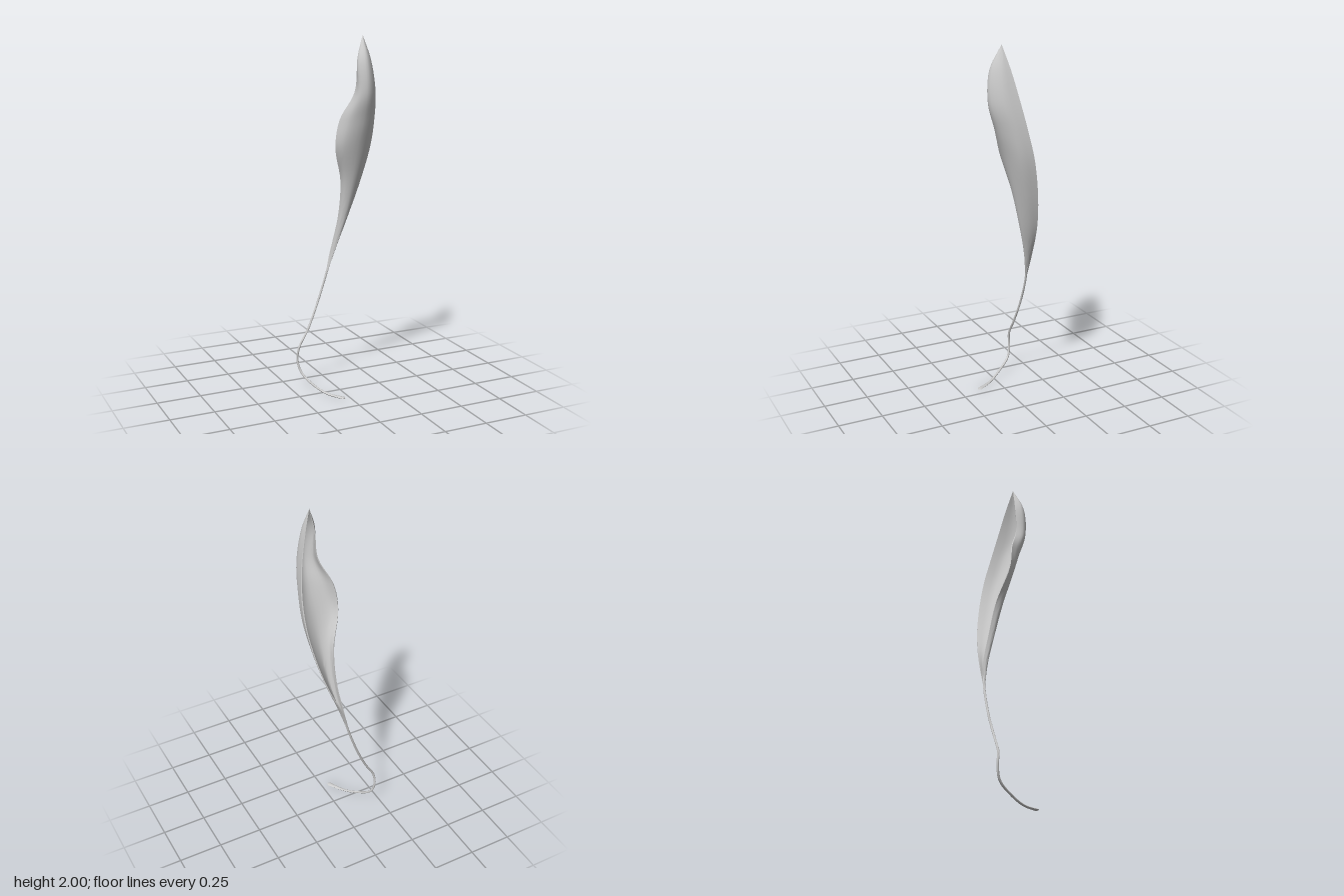
import * as THREE from 'three';
import { toCreasedNormals } from 'three/addons/utils/BufferGeometryUtils.js';

const material = new THREE.MeshStandardMaterial({ color: 0xcccccc, side: THREE.DoubleSide });

// Blade sections: height, then x,z pairs from the rear margin round the outside to the curled margin
const SECTIONS = [
  [0.8, 0.022, -0.16, 0.031, -0.135, 0.023, -0.112, 0.01, -0.122, 0.008, -0.14],
  [1.0, 0.11, -0.145, 0.1, -0.1, 0.068, -0.06, 0.04, -0.072, 0.035, -0.1],
  [1.2, 0.17, -0.115, 0.15, -0.05, 0.09, -0.008, 0.04, -0.025, 0.03, -0.06],
  [1.4, 0.205, -0.075, 0.185, 0, 0.105, 0.048, 0.012, 0.035, -0.028, 0],
  [1.55, 0.206, -0.037, 0.187, 0.04, 0.115, 0.096, 0.03, 0.075, -0.012, 0.02],
  [1.7, 0.188, -0.001, 0.17, 0.085, 0.105, 0.142, 0.058, 0.12, 0.052, 0.07],
  [1.87, 0.148, 0.036, 0.14, 0.088, 0.095, 0.132, 0.054, 0.104, 0.07, 0.068],
];
const BASE = new THREE.Vector3(-0.028, 0.62, -0.144);
const TIP = new THREE.Vector3(0.1, 2, 0.067);

// Thin-walled shell lofted from base point to tip point through the sections
function bladeGeometry(across = 16, along = 48, wall = 0.006) {
  const rails = [0, 1, 2, 3, 4].map((k) => new THREE.CatmullRomCurve3(
    [BASE, ...SECTIONS.map((s) => new THREE.Vector3(s[1 + 2 * k], s[0], s[2 + 2 * k])), TIP],
    false, 'centripetal'));
  const positions = [], index = [], ring = 2 * (across + 1);
  for (let j = 0; j <= along; j++) {
    const t = j / along;
    const arc = new THREE.CatmullRomCurve3(rails.map((r) => r.getPoint(t)), false, 'centripetal');
    const thick = wall * Math.min(1, 8 * t, 8 * (1 - t));
    const outer = [], inner = [];
    for (let i = 0; i <= across; i++) {
      const p = arc.getPoint(i / across), d = arc.getTangent(i / across);
      const inward = new THREE.Vector3(-d.z, 0, d.x).normalize();
      outer.push(p);
      inner.unshift(p.clone().addScaledVector(inward, thick));
    }
    for (const p of [...outer, ...inner]) positions.push(p.x, p.y, p.z);
  }
  for (let j = 0; j < along; j++) {
    for (let i = 0; i < ring; i++) {
      const a = j * ring + i, b = j * ring + (i + 1) % ring;
      index.push(a, a + ring, b, b, a + ring, b + ring);
    }
  }
  const g = new THREE.BufferGeometry();
  g.setAttribute('position', new THREE.Float32BufferAttribute(positions, 3));
  g.setIndex(index);
  return toCreasedNormals(g, 0.7);
}

// Hooked stalk: a tube that flares and flattens towards its cut end
function stalkGeometry(segments = 64, sides = 8) {
  const path = new THREE.CatmullRomCurve3([
    [-0.036, 0.008, 0.152], [-0.1, 0.009, 0.045], [-0.15, 0.04, -0.04], [-0.19, 0.095, -0.115],
    [-0.206, 0.165, -0.133], [-0.198, 0.24, -0.127], [-0.14, 0.345, -0.13], [-0.08, 0.48, -0.14],
    [-0.03, 0.62, -0.144], [0.005, 0.74, -0.14],
  ].map((p) => new THREE.Vector3(...p)));
  const g = new THREE.TubeGeometry(path, segments, 1, sides);
  const pos = g.attributes.position, v = new THREE.Vector3();
  for (let j = 0; j <= segments; j++) {
    const t = j / segments, c = path.getPointAt(t);
    const flare = Math.max(0, 1 - t / 0.18);
    // Both end rings shrink to a point to close the tube
    const open = j === 0 || j === segments ? 0 : 1;
    const width = open * (0.0065 + 0.0095 * flare * flare);
    const height = open * (0.0065 - 0.001 * flare);
    for (let i = 0; i <= sides; i++) {
      const id = j * (sides + 1) + i;
      v.fromBufferAttribute(pos, id).sub(c);
      pos.setXYZ(id, c.x + v.x * width, c.y + v.y * height, c.z + v.z * width);
    }
  }
  return toCreasedNormals(g, 0.8);
}

export function createModel() {
  const group = new THREE.Group();
  group.name = 'leaf';
  const parts = { blade: bladeGeometry(), stalk: stalkGeometry() };
  for (const [name, geometry] of Object.entries(parts)) {
    const mesh = new THREE.Mesh(geometry, material);
    mesh.name = name;
    group.add(mesh);
  }
  return group;
}
